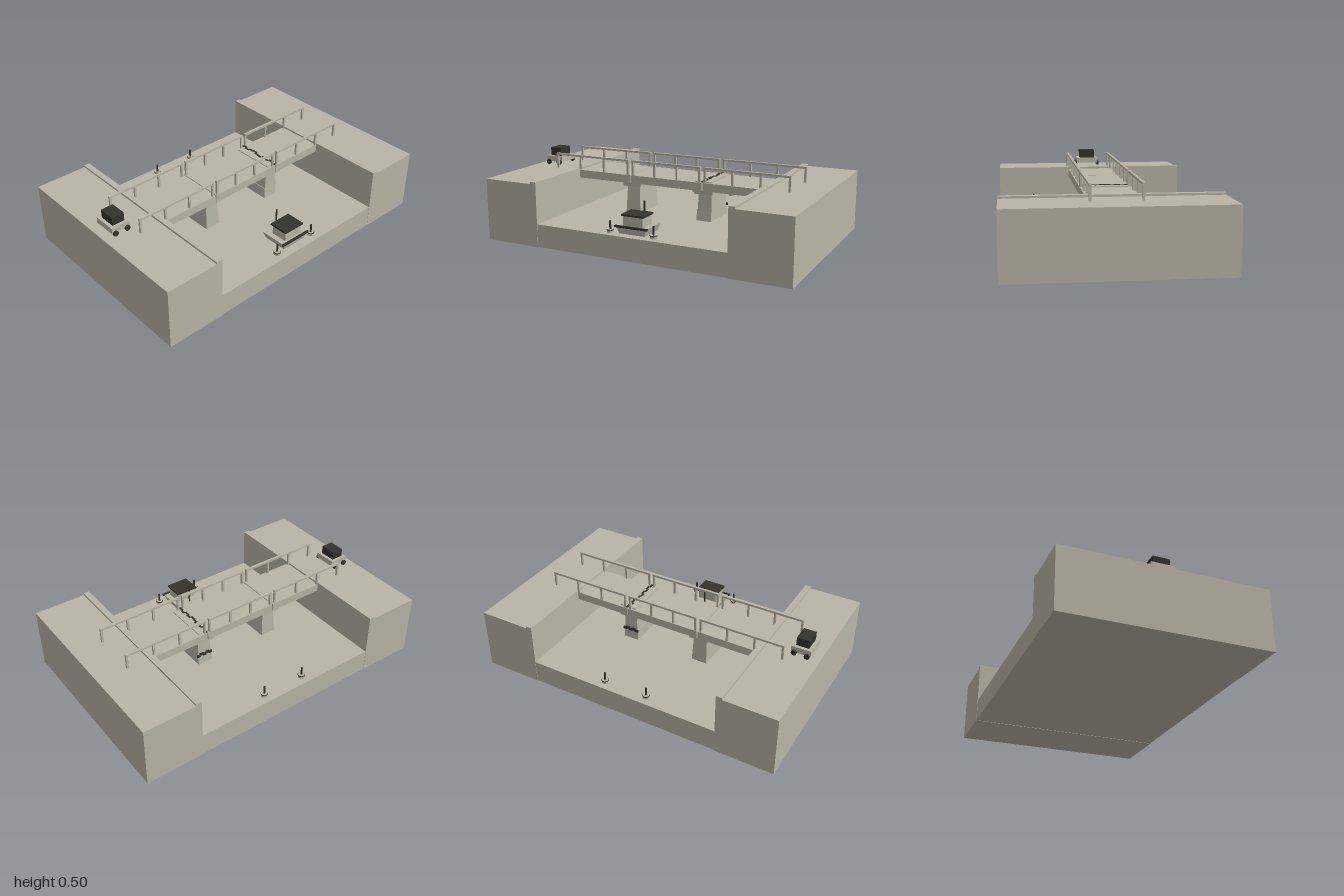
import * as THREE from 'three';

export function createModel() {
  const model = new THREE.Group();
  const stone = new THREE.MeshStandardMaterial({ color: 0xb8b4a6 });
  stone.name = 'pale stone';
  const dark = new THREE.MeshStandardMaterial({ color: 0x33322b });
  dark.name = 'charcoal';

  const add = (parent, name, geo, mat, x = 0, y = 0, z = 0) => {
    const mesh = new THREE.Mesh(geo, mat);
    mesh.name = name;
    mesh.position.set(x, y, z);
    parent.add(mesh);
    return mesh;
  };
  // box given by its minimum and maximum on each axis
  const box = (parent, name, mat, x0, x1, y0, y1, z0, z1) =>
    add(parent, name, new THREE.BoxGeometry(x1 - x0, y1 - y0, z1 - z0), mat,
      (x0 + x1) / 2, (y0 + y1) / 2, (z0 + z1) / 2);
  const group = (name, x = 0, y = 0, z = 0) => {
    const g = new THREE.Group();
    g.name = name;
    g.position.set(x, y, z);
    model.add(g);
    return g;
  };
  const TOP = 0.393, WATER = 0.145;

  // Banks, curbs and the channel between them
  box(model, 'channel', stone, -0.628, 0.628, 0.002, WATER, -0.638, 0.638);
  for (const s of [-1, 1]) {
    const side = s < 0 ? 'right' : 'left';
    add(model, side + 'Bank', new THREE.BoxGeometry(0.372, TOP, 1.28), stone, s * 0.814, TOP / 2, 0);
    add(model, side + 'Curb', new THREE.BoxGeometry(0.038, 0.013, 1.28), stone, s * 0.647, TOP + 0.0065, 0);
  }

  // Three deck spans with narrow joints over the piers
  const bridge = group('bridge');
  for (const [a, b] of [[-0.628, -0.253], [-0.247, 0.247], [0.253, 0.628]]) {
    box(bridge, 'deckSpan', stone, a, b, 0.343, TOP + 0.001, -0.155, 0.155);
  }

  // Railings: posts and a top rail per span on both edges
  for (const z of [-0.146, 0.146]) {
    for (const [a, b] of [[-0.81, -0.264], [-0.242, 0.237], [0.259, 0.81]]) {
      box(bridge, 'handrail', stone, a, b, 0.478, 0.491, z - 0.008, z + 0.008);
      for (let i = 0; i < 4; i++) {
        const x = a + 0.007 + (b - a - 0.014) * i / 3;
        box(bridge, 'railPost', stone, x - 0.0065, x + 0.0065, TOP, 0.48, z - 0.0065, z + 0.0065);
      }
    }
  }

  // Tapered piers with wider caps
  const taperedBox = (w0, w1, h, d0, d1) => {
    const geo = new THREE.BoxGeometry(1, h, 1);
    const p = geo.attributes.position;
    for (let i = 0; i < p.count; i++) {
      const up = p.getY(i) > 0;
      p.setX(i, p.getX(i) * (up ? w1 : w0));
      p.setZ(i, p.getZ(i) * (up ? d1 : d0));
    }
    geo.computeVertexNormals();
    return geo;
  };
  for (const x of [-0.25, 0.25]) {
    box(bridge, 'pierCap', stone, x - 0.062, x + 0.062, 0.317, 0.343, -0.135, 0.135);
    if (x < 0) {
      add(bridge, 'pierShaft', taperedBox(0.102, 0.086, 0.172, 0.24, 0.22), stone, x, 0.231, 0);
    } else {
      // damaged pier, split in two slightly shifted blocks
      add(bridge, 'lowerPierBlock', taperedBox(0.1, 0.096, 0.07, 0.24, 0.23), stone, x - 0.002, 0.18, 0);
      add(bridge, 'upperPierBlock', taperedBox(0.094, 0.084, 0.102, 0.228, 0.22), stone, x + 0.001, 0.266, 0);
    }
  }

  // Crack across the patched joint and around the damaged pier
  box(bridge, 'jointPatch', stone, 0.195, 0.305, TOP, 0.4, -0.139, 0.139);
  const zig = [0.004, -0.006, 0.004, 0.008, -0.004, -0.009, 0.003, -0.005, 0.006, -0.002];
  zig.forEach((dx, i) => {
    const z = -0.135 + i * 0.03;
    box(bridge, 'deckCrack', dark, 0.245 + dx, 0.257 + dx, 0.398, 0.403, z - 0.017, z + 0.017);
  });
  for (let i = 0; i < 5; i++) {
    const x = 0.21 + i * 0.021, y = 0.213 + (i % 2 ? 0.005 : -0.004);
    box(bridge, 'pierCrack', dark, x - 0.012, x + 0.012, y - 0.008, y + 0.008, -0.122, -0.112);
  }

  // Car on the right bank
  const car = group('car', -0.885, 0, 0);
  box(car, 'carBody', stone, -0.061, 0.061, 0.413, 0.45, -0.074, 0.074);
  box(car, 'carCabin', dark, -0.04, 0.04, 0.45, 0.504, -0.053, 0.053);
  for (const x of [-0.04, 0.04]) for (const z of [-0.079, 0.079]) {
    add(car, 'wheel', new THREE.CylinderGeometry(0.017, 0.017, 0.012, 16), dark, x, 0.411, z).rotation.x = Math.PI / 2;
  }

  // Boat: pointed hull flaring towards its deck
  const boat = group('boat', 0, 0, 0.5);
  const outline = [[-0.1, 0.09], [0.1, 0.09], [0.1, -0.088], [0, -0.19], [-0.1, -0.088]];
  const hullShape = new THREE.Shape(outline.map(([x, z]) => new THREE.Vector2(x, -z)));
  const hull = new THREE.ExtrudeGeometry(hullShape, { depth: 0.045, bevelEnabled: false });
  hull.rotateX(-Math.PI / 2);
  const hp = hull.attributes.position;
  for (let i = 0; i < hp.count; i++) {
    if (hp.getY(i) < 0.01) {
      hp.setX(i, hp.getX(i) * 0.84);
      hp.setZ(i, hp.getZ(i) * 0.88);
    }
  }
  hull.computeVertexNormals();
  add(boat, 'hull', hull, stone, 0, WATER, 0);
  box(boat, 'sternFender', dark, -0.108, 0.108, 0.184, 0.196, 0.082, 0.095);
  box(boat, 'cabin', stone, -0.065, 0.065, 0.19, 0.251, -0.04, 0.067);
  box(boat, 'cabinRoof', dark, -0.074, 0.074, 0.251, 0.262, -0.05, 0.075);
  add(boat, 'mast', new THREE.CylinderGeometry(0.005, 0.005, 0.126, 12), dark, 0, 0.252, -0.077);

  // Four buoys marking the passage
  for (const x of [-0.144, 0.144]) for (const z of [-0.58, 0.58]) {
    const buoy = group('buoy', x, WATER, z);
    add(buoy, 'float', new THREE.CylinderGeometry(0.02, 0.02, 0.02, 20), stone, 0, 0.01, 0);
    add(buoy, 'floatRing', new THREE.TorusGeometry(0.0195, 0.0035, 6, 20), dark, 0, 0.016, 0).rotation.x = Math.PI / 2;
    add(buoy, 'marker', new THREE.CylinderGeometry(0.006, 0.006, 0.052, 12), dark, 0, 0.045, 0);
  }
  return model;
}
